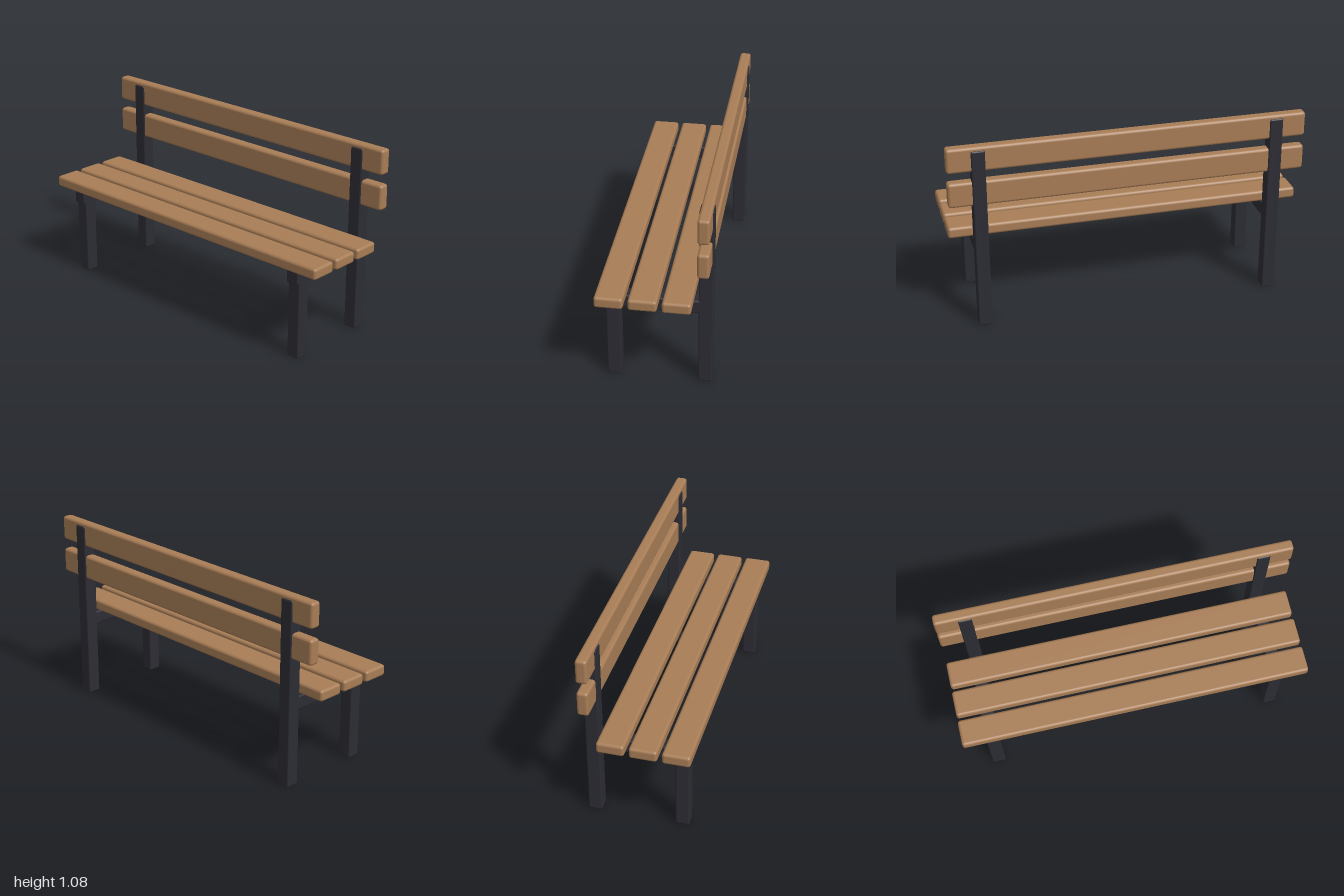
import * as THREE from 'three';
import { RoundedBoxGeometry } from 'three/addons/geometries/RoundedBoxGeometry.js';

export function createModel() {
  const bench = new THREE.Group();
  bench.name = 'bench';

  const wood = new THREE.MeshStandardMaterial({ color: 0xa87d56 });
  wood.name = 'warm wood';
  const metal = new THREE.MeshStandardMaterial({ color: 0x2c2c34 });
  metal.name = 'dark metal';

  // Softly rounded bar spanning the given [min, max] ranges
  function bar(name, material, radius, [x0, x1], [y0, y1], [z0, z1]) {
    const geometry = new RoundedBoxGeometry(x1 - x0, y1 - y0, z1 - z0, 2, radius);
    const mesh = new THREE.Mesh(geometry, material);
    mesh.position.set((x0 + x1) / 2, (y0 + y1) / 2, (z0 + z1) / 2);
    mesh.name = name;
    bench.add(mesh);
  }

  // Three seat slats, front to back
  const length = [-1, 1];
  ['front', 'middle', 'rear'].forEach((place, i) => {
    const z = 0.226 - i * 0.177;
    bar(place + 'SeatSlat', wood, 0.016, length, [0.51, 0.574], [z - 0.076, z + 0.076]);
  });

  // Two backrest slats, set into the rear posts
  bar('lowerBackSlat', wood, 0.016, length, [0.738, 0.88], [-0.295, -0.232]);
  bar('upperBackSlat', wood, 0.016, length, [0.938, 1.079], [-0.295, -0.232]);

  // Side frames: front leg, seat rail and tall rear post
  for (const [side, x] of [['left', 0.83], ['right', -0.83]]) {
    const width = [x - 0.038, x + 0.038];
    bar(side + 'FrontLeg', metal, 0.008, width, [0, 0.46], [0.188, 0.264]);
    bar(side + 'SeatRail', metal, 0.008, width, [0.436, 0.512], [-0.27, 0.282]);
    bar(side + 'RearPost', metal, 0.008, width, [0, 1.057], [-0.302, -0.226]);
  }

  return bench;
}
